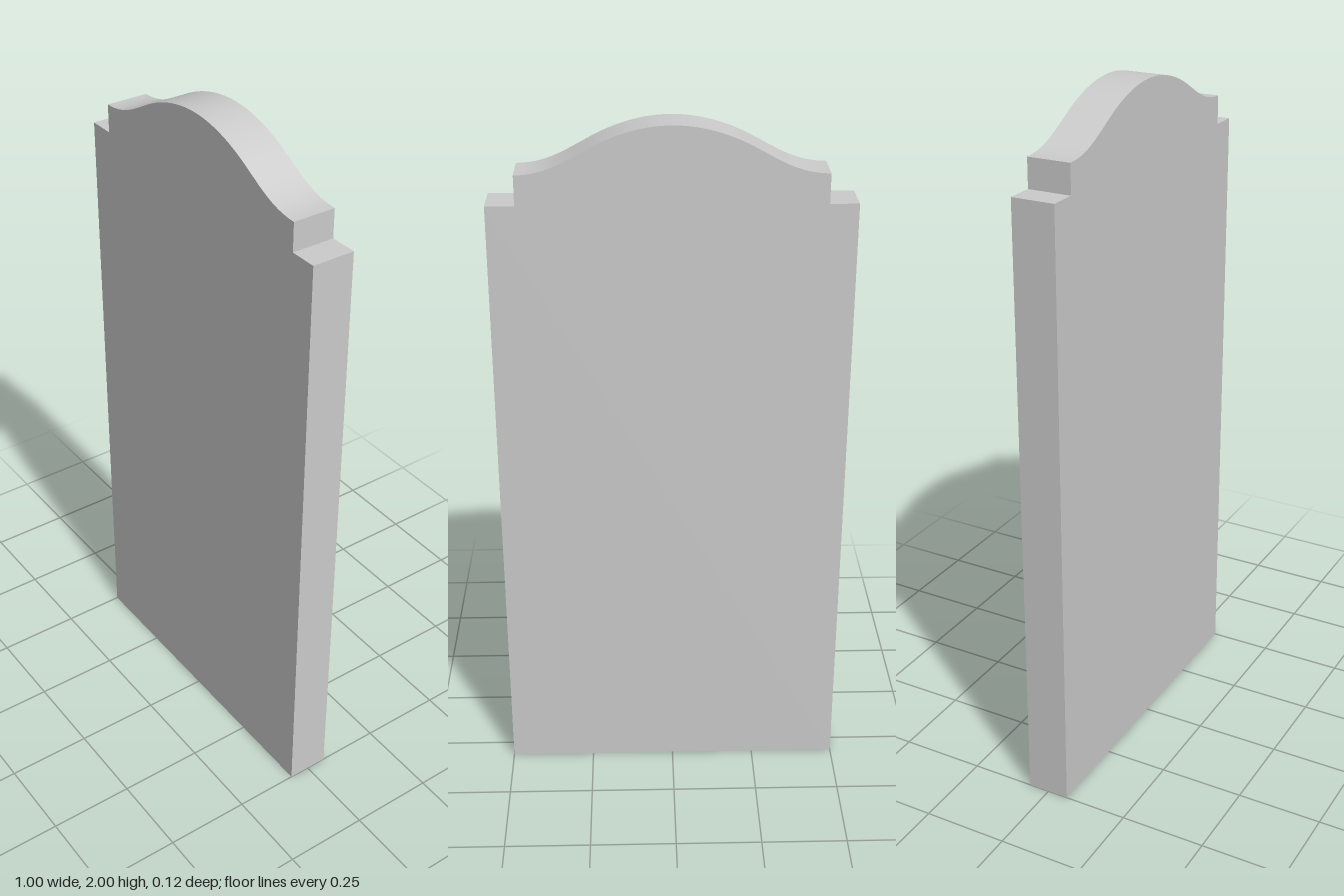
import * as THREE from 'three';
import { toCreasedNormals } from 'three/addons/utils/BufferGeometryUtils.js';

export function createModel() {
  const group = new THREE.Group();
  group.name = 'headstone';

  const halfWidth = 0.5, shoulderY = 1.787, notchX = 0.42, crownY = 1.87, topY = 2, depth = 0.125;

  // Slab outline, counter-clockwise: square shoulders and a serpentine crown
  const outline = new THREE.Shape();
  outline.moveTo(-halfWidth, 0);
  outline.lineTo(halfWidth, 0);
  outline.lineTo(halfWidth, shoulderY);
  outline.lineTo(notchX, shoulderY);
  outline.lineTo(notchX, crownY);
  outline.bezierCurveTo(0.34, crownY, 0.29, 1.903, 0.23, 1.935);
  outline.bezierCurveTo(0.16, 1.975, 0.08, topY, 0, topY);
  outline.bezierCurveTo(-0.08, topY, -0.16, 1.975, -0.23, 1.935);
  outline.bezierCurveTo(-0.29, 1.903, -0.34, crownY, -notchX, crownY);
  outline.lineTo(-notchX, shoulderY);
  outline.lineTo(-halfWidth, shoulderY);
  outline.closePath();

  const geometry = new THREE.ExtrudeGeometry(outline, { depth, bevelEnabled: false, curveSegments: 14 });
  geometry.translate(0, 0, -depth / 2);

  // Smooth crown, sharp edges elsewhere
  const slab = new THREE.Mesh(
    toCreasedNormals(geometry, Math.PI / 6),
    new THREE.MeshStandardMaterial({ color: 0xcccccc })
  );
  slab.name = 'slab';
  group.add(slab);
  return group;
}
